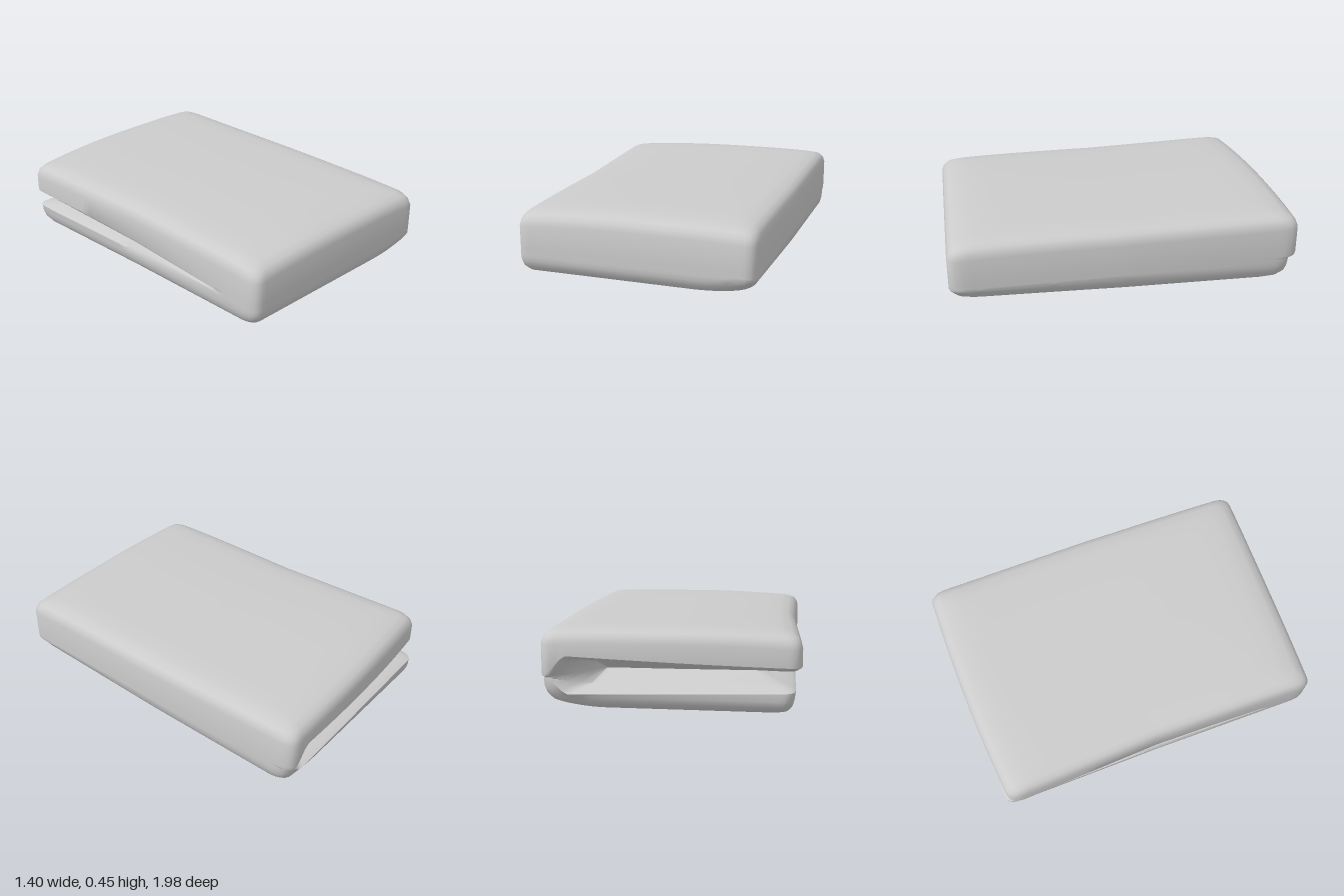
import * as THREE from 'three';
import { toCreasedNormals } from 'three/addons/utils/BufferGeometryUtils.js';

const { lerp, clamp, smoothstep } = THREE.MathUtils;
const SIDE = 48; // points along each side of the outline

// Unit square with rounded corners, walked right side first, then back, left, front
function unitOutline(r) {
  const corners = [[1, 1], [1, -1], [-1, -1], [-1, 1]];
  const points = [];
  corners.forEach(([u0, w0], k) => {
    const [u1, w1] = corners[(k + 1) % 4];
    for (let i = 0; i < SIDE; i++) {
      const u = lerp(u0, u1, i / SIDE), w = lerp(w0, w1, i / SIDE);
      const cu = clamp(u, r - 1, 1 - r), cw = clamp(w, r - 1, 1 - r);
      const d = Math.hypot(u - cu, w - cw);
      const s = d > r ? r / d : 1;
      points.push([cu + (u - cu) * s, cw + (w - cw) * s]);
    }
  });
  return points;
}

// Plan shape: m runs from the bottom flap (0) to the top flap (1)
function plan(u, w, m) {
  const back = Math.max(0, -w);
  const x = u < 0 ? u * (0.645 + lerp(0.015, 0.055, m) * back) : u * (0.70 - 0.02 * back);
  const topBack = 1 - 0.08 * Math.pow((1 - u) / 2, 2.4);
  const z = w > 0 ? w * 0.985 : w * lerp(0.955, topBack, m);
  return [x, z];
}

// How far the fold gapes: closed at the front and right, open at the back and left
function opening(u, w) {
  const alongBack = smoothstep(-w, 0.9, 0.97) * smoothstep(-u, -0.95, -0.78);
  const alongLeft = smoothstep(-u, 0.88, 0.97) * clamp((0.75 - w) / 1.6, 0, 1);
  return Math.max(alongBack, alongLeft);
}

// Sloping underside, domed top, and the two lips of the gap
const bottomY = (u, w) => 0.035 + 0.03 * w + 0.05 * Math.pow(Math.max(0, u - 0.5) * 2, 2);
const topY = (u, w) =>
  0.458 - 0.028 * Math.pow(Math.max(0, -u), 2) - 0.012 * Math.pow(Math.max(0, u), 4)
  - 0.015 * Math.pow(Math.max(0, w), 4);
const lowerLip = (u, o) => 0.19 - (0.04 + 0.02 * (u + 1)) * o;
const upperLip = (u, o) => 0.20 + (0.04 + 0.03 * (u + 1)) * o;

// Layers from the underside up: [flap, inset, inset in the gap, height rule]
const layers = [
  ...[1, 0.75, 0.5, 0.3, 0.17].map((i) => [0, i, 0, (u, w) => bottomY(u, w)]),
  [0, 0.09, 0, (u, w) => bottomY(u, w) + 0.006],
  [0, 0.045, 0, (u, w) => bottomY(u, w) + 0.022],
  [0, 0.015, 0, (u, w) => bottomY(u, w) + 0.05],
  [0, 0.002, 0, (u, w, o) => Math.min(bottomY(u, w) + 0.085, lowerLip(u, o) - 0.02)],
  [0.1, 0, 0, (u, w, o) => lowerLip(u, o) - 0.015],
  [0.1, 0, 0.035, (u, w, o) => lowerLip(u, o)],
  [0.3, 0, 0.18, (u, w, o) => lowerLip(u, o) + 0.015 * o],
  [0.5, 0, 0.30, () => 0.195],
  [0.7, 0, 0.18, (u, w, o) => upperLip(u, o) - 0.015 * o],
  [0.9, 0, 0.03, (u, w, o) => upperLip(u, o)],
  [1, 0, 0, (u, w, o) => upperLip(u, o) + 0.02],
  [1, 0, 0, (u, w) => topY(u, w) - 0.075],
  [1, 0.012, 0, (u, w) => topY(u, w) - 0.042],
  [1, 0.035, 0, (u, w) => topY(u, w) - 0.02],
  [1, 0.08, 0, (u, w) => topY(u, w) - 0.007],
  ...[0.17, 0.3, 0.5, 0.75, 1].map((i) => [1, i, 0, (u, w) => topY(u, w)]),
];

// Loft the layers into one closed skin
function foldedGeometry() {
  const outline = unitOutline(0.08);
  const n = outline.length;
  const position = [], index = [];
  layers.forEach(([m, inset, gap, height], k) => {
    outline.forEach(([u, w], i) => {
      const o = opening(u, w);
      const s = 1 - inset - gap * o;
      const [x, z] = plan(u, w, m);
      const y = height(u * (1 - inset), w * (1 - inset), o);
      position.push(x * s, y, z * s);
      if (k === 0) return;
      const j = (i + 1) % n;
      const a = (k - 1) * n + i, b = (k - 1) * n + j, c = k * n + j, d = k * n + i;
      if (k > 1) index.push(a, b, c);
      if (k < layers.length - 1) index.push(a, c, d);
      if (k === 1) index.push(a, c, d);
    });
  });
  const geometry = new THREE.BufferGeometry();
  geometry.setAttribute('position', new THREE.Float32BufferAttribute(position, 3));
  geometry.setIndex(index);
  return toCreasedNormals(geometry, 0.7);
}

export function createModel() {
  const group = new THREE.Group();
  group.name = 'foldedCloth';
  const cloth = new THREE.Mesh(
    foldedGeometry(),
    new THREE.MeshStandardMaterial({ color: 0xcccccc, side: THREE.DoubleSide }),
  );
  cloth.name = 'foldedLayers';
  group.add(cloth);
  return group;
}
